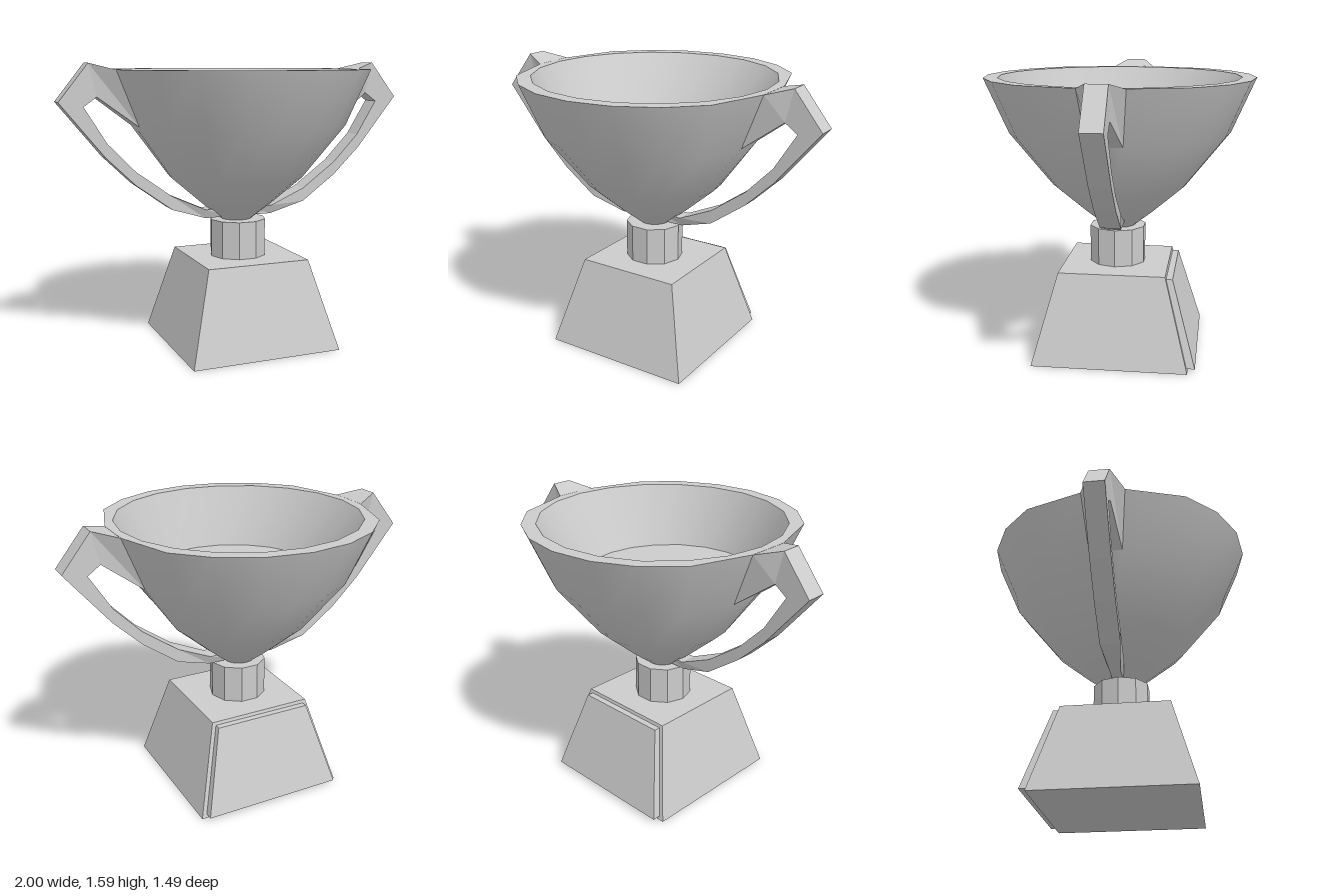
import * as THREE from 'three';

const SIDES = 20;

// Skin over a list of rings; each ring runs counter-clockwise seen from the far end
function loft(rings, smooth) {
  const n = rings[0].length;
  const index = [];
  for (let j = 0; j < rings.length - 1; j++) {
    for (let i = 0; i < n; i++) {
      const a = j * n + i, b = j * n + (i + 1) % n;
      index.push(a, b, b + n, a, b + n, a + n);
    }
  }
  let geo = new THREE.BufferGeometry();
  geo.setAttribute('position', new THREE.Float32BufferAttribute(rings.flat(2), 3));
  geo.setIndex(index);
  if (!smooth) geo = geo.toNonIndexed();
  geo.computeVertexNormals();
  return geo;
}

// Ring with every point at the centre, used to close an end
function closing(ring) {
  const c = [0, 1, 2].map(k => ring.reduce((s, p) => s + p[k], 0) / ring.length);
  return ring.map(() => c);
}

function circle(r, y, z = 0) {
  return Array.from({ length: SIDES }, (_, i) => {
    const t = i / SIDES * Math.PI * 2;
    return [Math.sin(t) * r, y, z + Math.cos(t) * r];
  });
}

// Circle whose two side facets are narrowed to half width w to meet the handles
function handleCircle(r, y, w) {
  const flat = r * Math.cos(Math.PI / 10);
  return circle(r, y).map(([x, , z]) =>
    Math.abs(x) > r * 0.94 ? [Math.sign(x) * flat, y, Math.abs(z) < 0.01 ? 0 : Math.sign(z) * w] : [x, y, z]);
}

function rectangle(x0, x1, z0, z1, y) {
  return [[x0, y, z1], [x1, y, z1], [x1, y, z0], [x0, y, z0]];
}

// Closed flat-faced solid through the given sections
function solid(rings) {
  return loft([closing(rings[0]), ...rings, closing(rings[rings.length - 1])], false);
}

export function createModel() {
  const group = new THREE.Group();
  const smoothMat = new THREE.MeshStandardMaterial({ color: 0xcccccc, side: THREE.DoubleSide });
  const flatMat = new THREE.MeshStandardMaterial({ color: 0xcccccc, flatShading: true });
  const add = (name, geo, mat) => {
    const mesh = new THREE.Mesh(geo, mat);
    mesh.name = name;
    group.add(mesh);
    return mesh;
  };

  // Bowl: outside, rim, inside wall and floor
  const foot = circle(0.08, 0.705);
  const rim = handleCircle(0.745, 1.55, 0.12);
  const innerRim = circle(0.668, 1.55);
  const floor = circle(0.487, 1.215, 0.06);
  add('bowlOutside', loft([foot, circle(0.2, 0.8), circle(0.38, 0.955),
    handleCircle(0.615, 1.25, 0.09), rim], true), smoothMat);
  add('bowlFoot', loft([closing(foot), foot], false), flatMat);
  add('bowlRim', loft([rim, innerRim], false), flatMat);
  add('bowlInside', loft([innerRim, floor], true), smoothMat);
  add('bowlFloor', loft([floor, closing(floor)], false), flatMat);

  // Handles: outer x, y, inner x, y, outer and inner half width
  const sections = [
    [0.71, 1.55, 0.585, 1.25, 0.12, 0.09],
    [0.84, 1.585, 0.80, 1.41, 0.056, 0.056],
    [1.0, 1.385, 0.87, 1.36, 0.056, 0.056],
    [0.76, 1.09, 0.75, 1.165, 0.056, 0.056],
    [0.6, 0.935, 0.6, 1.01, 0.056, 0.056],
    [0.4, 0.79, 0.4, 0.865, 0.056, 0.056],
    [0.2, 0.725, 0.2, 0.775, 0.03, 0.05],
    [0.05, 0.725, 0.05, 0.775, 0.03, 0.03],
  ].map(([ox, oy, ix, iy, wo, wi]) => [[ox, oy, wo], [ix, iy, wi], [ix, iy, -wi], [ox, oy, -wo]]);
  const handleGeo = solid(sections);
  add('leftHandle', handleGeo, flatMat);
  add('rightHandle', handleGeo, flatMat).rotation.y = Math.PI;

  // Ten-sided stem
  const stem = add('stem', new THREE.CylinderGeometry(0.16, 0.16, 0.21, 10), flatMat);
  stem.rotation.y = Math.PI / 2;
  stem.position.set(0.005, 0.605, 0.01);

  // Tapered base with a raised plate on its back
  add('base', solid([
    rectangle(-0.415, 0.445, -0.42, 0.44, 0),
    rectangle(-0.28, 0.31, -0.285, 0.305, 0.5),
  ]), flatMat);
  add('backPlate', solid([
    rectangle(-0.385, 0.415, -0.46, -0.40, 0.02),
    rectangle(-0.262, 0.292, -0.325, -0.275, 0.482),
  ]), flatMat);

  return group;
}
